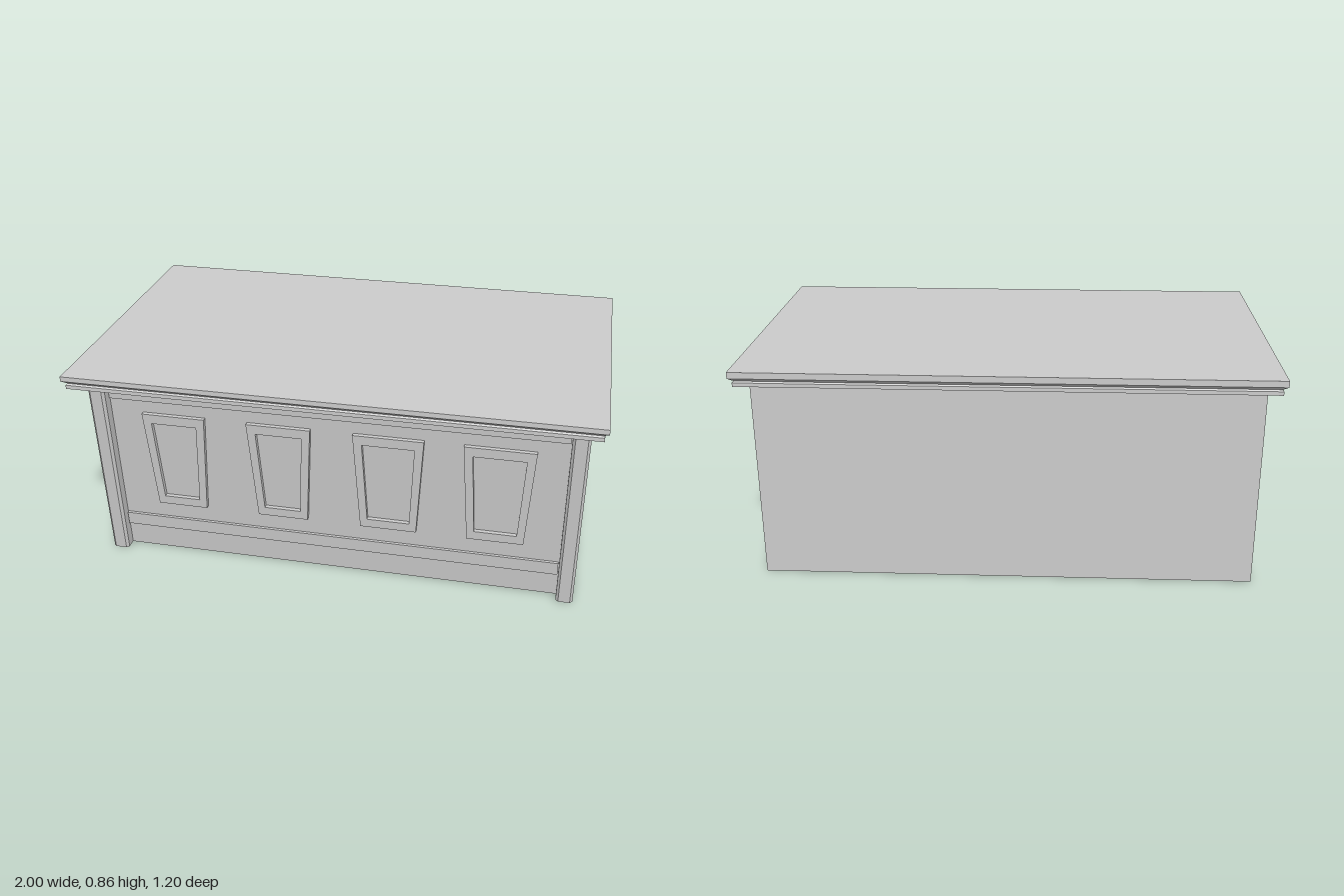
import * as THREE from 'three';

const material = new THREE.MeshStandardMaterial({ color: 0xcccccc, side: THREE.DoubleSide, flatShading: true });

const H = 0.8;            // carcass height
const LEAN = 0.061 / H;   // the front leans outwards towards the top
const BACK = -0.513;
const FIELD_Z = 0.4;      // foot of the recessed front field
const FRONT_Z = 0.449;    // foot of the corner posts

// Skin of flat quads between successive cross-sections
function loft(rings, closed) {
  const pos = [];
  for (let r = 0; r + 1 < rings.length; r++) {
    const lo = rings[r], hi = rings[r + 1], n = lo.length;
    for (let i = 0; i < (closed ? n : n - 1); i++) {
      const j = (i + 1) % n;
      for (const p of [lo[i], lo[j], hi[j], lo[i], hi[j], hi[i]]) pos.push(...p);
    }
  }
  const g = new THREE.BufferGeometry();
  g.setAttribute('position', new THREE.Float32BufferAttribute(pos, 3));
  g.computeVertexNormals();
  return g;
}

function add(parent, name, geometry) {
  const mesh = new THREE.Mesh(geometry, material);
  mesh.name = name;
  parent.add(mesh);
  return mesh;
}

// Shears upright front parts to follow the leaning front
function lean(geometry) {
  const m = new THREE.Matrix4().set(1, 0, 0, 0, 0, 1, 0, 0, 0, LEAN, 1, FIELD_Z, 0, 0, 0, 1);
  geometry.applyMatrix4(m);
  geometry.computeVertexNormals();
  return geometry;
}

const toPath = (pts, Type) => new Type(pts.map(([x, y]) => new THREE.Vector2(x, y)));

// Flat face with optional holes, at a height above the front field
function face(outline, holes, depth) {
  const shape = toPath(outline, THREE.Shape);
  shape.holes = holes.map((h) => toPath([...h].reverse(), THREE.Path));
  return lean(new THREE.ShapeGeometry(shape).translate(0, 0, depth));
}

// Edge walls of a raised outline
const walls = (outline, depth) =>
  lean(loft([0, depth].map((z) => outline.map(([x, y]) => [x, y, z])), true));

const rect = (x, y0, y1) => [[-x, y0], [x, y0], [x, y1], [-x, y1]];

// Trapezoid, wider at the top
const trapezoid = (cx, bottom, top, y0, y1) =>
  [[cx - bottom / 2, y0], [cx + bottom / 2, y0], [cx + top / 2, y1], [cx - top / 2, y1]];

export function createModel() {
  const group = new THREE.Group();
  group.name = 'counter';

  // Carcass: chamfered corner posts, sides and back, open below
  const half = [[0.881, FIELD_Z], [0.881, FRONT_Z - 0.01], [0.891, FRONT_Z], [0.936, FRONT_Z], [0.946, FRONT_Z - 0.01]];
  const section = (y) => {
    const right = [...half.map(([x, z]) => [x, y, z + LEAN * y]), [0.946, y, BACK]];
    const left = right.map(([x, , z]) => [-x, y, z]).reverse();
    return [...right, ...left];
  };
  add(group, 'carcass', loft([section(0), section(H)], false));

  // Decorated front
  const front = new THREE.Group();
  front.name = 'front';
  group.add(front);
  const rails = [rect(0.878, 0.105, 0.16), rect(0.878, 0.71, 0.76)];
  const frames = [[-0.626, 0.25], [-0.209, 0.25], [0.214, 0.27], [0.63, 0.268]].map(([cx, w]) => ({
    outer: trapezoid(cx, w - 0.05, w, 0.235, 0.655),
    inner: trapezoid(cx, w - 0.105, w - 0.07, 0.272, 0.615),
  }));
  add(front, 'frontField', face(rect(0.881, 0, H), [...rails, ...frames.map((f) => f.outer)], 0));

  for (const rail of rails) {
    add(front, 'railFace', face(rail, [], 0.012));
    add(front, 'railEdge', walls(rail, 0.012));
  }
  for (const { outer, inner } of frames) {
    add(front, 'frameFace', face(outer, [inner], 0.018));
    add(front, 'frameOuterEdge', walls(outer, 0.018));
    add(front, 'frameInnerEdge', walls([...inner].reverse(), 0.018));
    add(front, 'framePanel', face(inner, [], 0));
  }

  // Countertop with a moulded edge, its top dropping slightly to the front
  const ring = (x, zFront, zBack, yFront, yBack = yFront) =>
    [[x, yFront, zFront], [x, yBack, zBack], [-x, yBack, zBack], [-x, yFront, zFront]];
  const top = ring(1, 0.602, -0.602, 0.853, 0.858);
  add(group, 'countertopEdge', loft([
    ring(0.946, FIELD_Z + LEAN * H, BACK, H),
    ring(0.986, 0.592, -0.592, H),
    ring(0.986, 0.592, -0.592, 0.815),
    ring(0.98, 0.585, -0.585, 0.82),
    ring(1, 0.602, -0.602, 0.834),
    top,
  ], true));
  add(group, 'countertop', loft([[top[3], top[0]], [top[2], top[1]]], false));

  return group;
}
